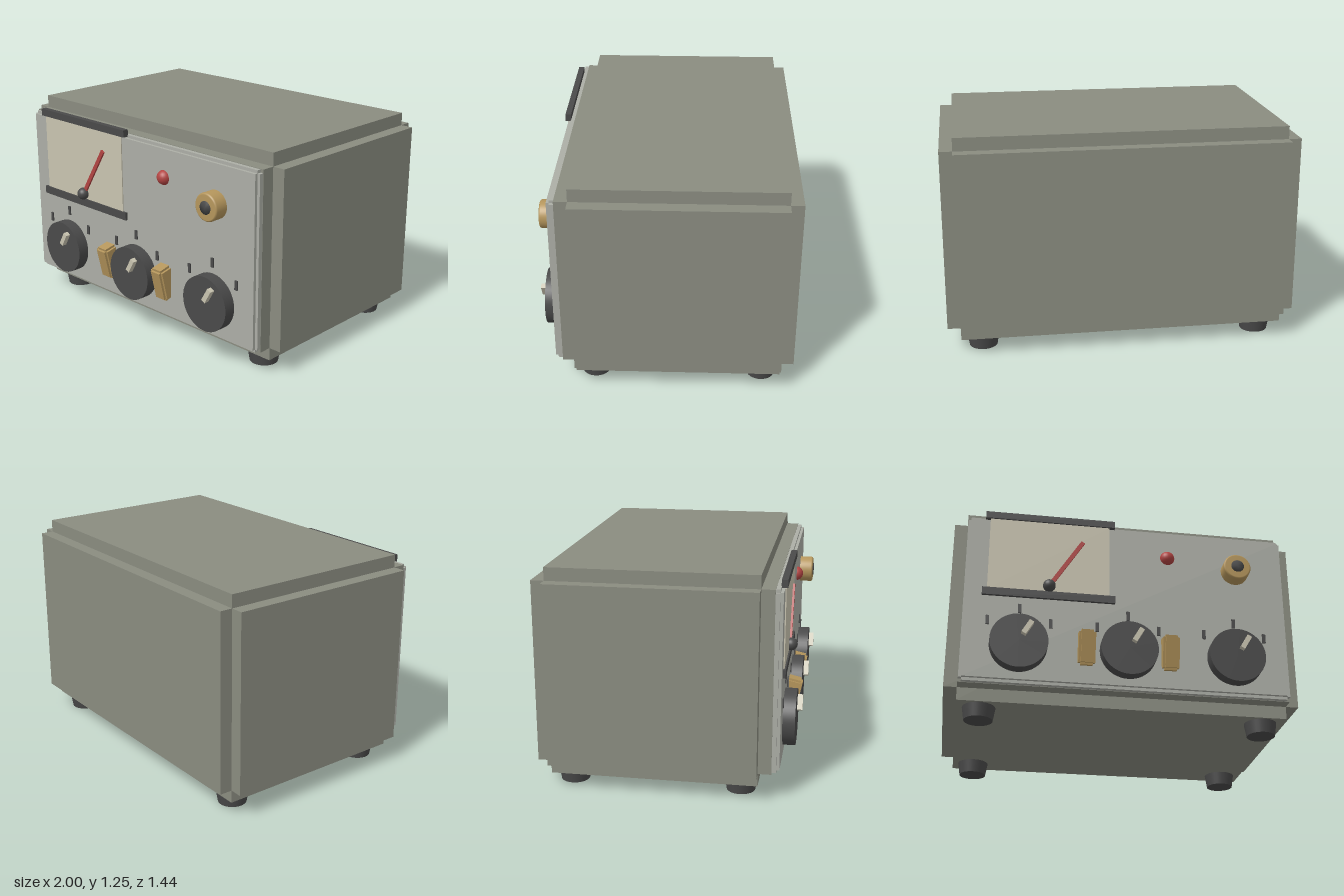
import * as THREE from 'three';

const mat = (name, color) => Object.assign(new THREE.MeshStandardMaterial({ color }), { name });

export function createModel() {
  const caseGreen = mat('case grey green', 0x8a8c80);
  const panelGrey = mat('panel grey', 0xacaea6);
  const dark = mat('charcoal', 0x4a4a4a);
  const cream = mat('cream', 0xc9c4b0);
  const red = mat('red', 0xb24442);
  const brass = mat('brass', 0xb5965c);

  const root = new THREE.Group();
  root.name = 'instrumentBox';

  const add = (name, geo, material, x, y, z, parent = root) => {
    const m = new THREE.Mesh(geo, material);
    m.name = name;
    m.position.set(x, y, z);
    parent.add(m);
    return m;
  };
  const box = (w, h, d) => new THREE.BoxGeometry(w, h, d);

  // Box with square notches of size s along every edge: three crossing slabs
  const notchedBox = (name, w, h, d, s, material, x, y, z) => {
    const g = new THREE.Group();
    g.name = name;
    g.position.set(x, y, z);
    const t = 2 * s;
    add(name + 'Sides', box(w, h - t, d - t), material, 0, 0, 0, g);
    add(name + 'TopBottom', box(w - t, h, d - t), material, 0, 0, 0, g);
    add(name + 'FrontBack', box(w - t, h - t, d), material, 0, 0, 0, g);
    root.add(g);
    return g;
  };

  // Solid of revolution facing +z, from [radius, depth] points
  const turned = (points, segments = 48) =>
    new THREE.LatheGeometry(points.map(([r, d]) => new THREE.Vector2(r, d)), segments).rotateX(Math.PI / 2);

  // Case and front plate
  notchedBox('case', 2, 1.175, 1.3, 0.074, caseGreen, 0, 0.6625, -0.07);
  notchedBox('frontPanel', 1.847, 1.022, 0.08, 0.017, panelGrey, 0, 0.6625, 0.581);
  const face = 0.621;

  // Tapered feet
  for (const x of [-0.8, 0.8]) {
    for (const z of [-0.543, 0.404]) {
      add('foot', new THREE.CylinderGeometry(0.093, 0.08, 0.08, 32), dark, x, 0.04, z);
    }
  }

  // Meter: dial plate, two bars, needle and pivot
  add('meterDial', box(0.69, 0.46, 0.006), cream, -0.452, 0.935, face + 0.003);
  add('meterTopBar', box(0.75, 0.042, 0.034), dark, -0.449, 1.184, 0.619);
  add('meterBottomBar', box(0.75, 0.046, 0.034), dark, -0.449, 0.688, 0.619);
  const needle = add('needle', box(0.024, 0.36, 0.012), red, -0.357, 0.893, 0.634);
  needle.rotation.z = -0.56;
  add('needlePivot', new THREE.SphereGeometry(0.036, 24, 16), dark, -0.45, 0.745, 0.639);

  // Indicator lamp
  add('lamp', new THREE.SphereGeometry(0.043, 24, 16), red, 0.235, 0.993, 0.615);

  // Brass socket with a dark centre
  add('socket', turned([[0.08, 0], [0.08, 0.07], [0.076, 0.077], [0.07, 0.08], [0, 0.08]]),
    brass, 0.633, 0.932, face);
  add('socketCentre', turned([[0.037, 0], [0.037, 0.085], [0, 0.085]], 24), dark, 0.633, 0.932, face);

  // Knobs with pointers and scale ticks
  for (const x of [-0.61, 0, 0.61]) {
    add('knob', new THREE.CylinderGeometry(0.16, 0.16, 0.07, 48).rotateX(Math.PI / 2),
      dark, x, 0.37, face + 0.034);
    const pointer = add('knobPointer', box(0.028, 0.088, 0.04), cream, x + 0.043, 0.44, 0.7);
    pointer.rotation.z = -Math.PI / 6;
    for (const [dx, y] of [[-0.175, 0.512], [0, 0.594], [0.175, 0.512]]) {
      add('scaleTick', box(0.019, 0.055, 0.008), dark, x + dx, y, face + 0.003);
    }
  }

  // Tilted rocker switches
  for (const x of [-0.235, 0.235]) {
    const rocker = notchedBox('rockerSwitch', 0.094, 0.2, 0.1, 0.013, brass, x, 0.373, 0.633);
    rocker.rotation.x = 0.22;
  }

  return root;
}
